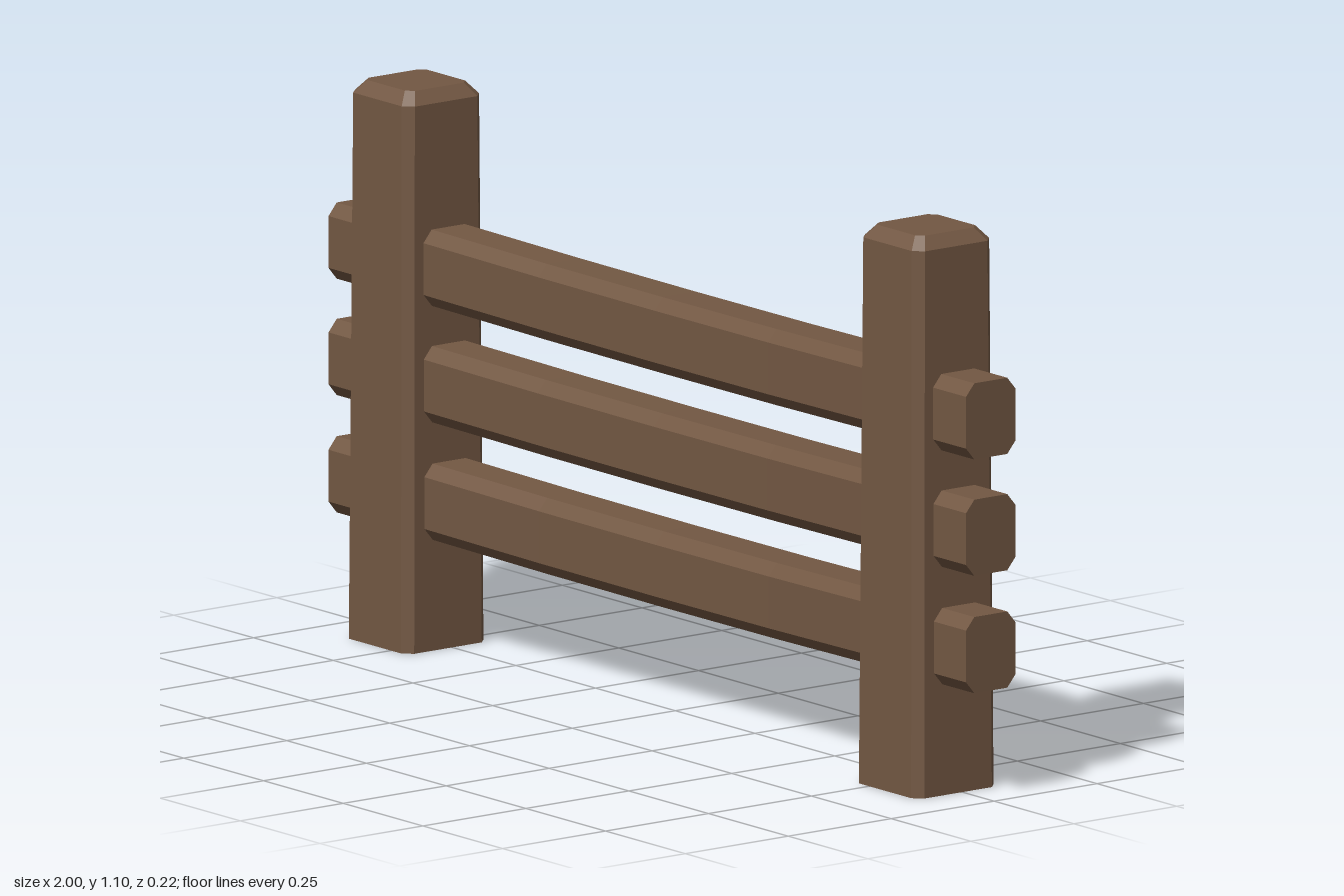
import * as THREE from 'three';

// Rectangle outline with cut corners, counter-clockwise in (u, v)
function chamferedRect(hu, hv, cu, cv = cu) {
  return [
    [hu, -hv + cv], [hu, hv - cv], [hu - cu, hv], [-hu + cu, hv],
    [-hu, hv - cv], [-hu, -hv + cv], [-hu + cu, -hv], [hu - cu, -hv],
  ];
}

// Skin a list of equal-length rings of Vector3 and close both ends
function loft(rings) {
  const n = rings[0].length;
  const points = rings.flat();
  const index = [];
  for (let r = 0; r < rings.length - 1; r++) {
    for (let i = 0; i < n; i++) {
      const a = r * n + i, b = r * n + (i + 1) % n;
      index.push(a, b, b + n, a, b + n, a + n);
    }
  }
  const last = (rings.length - 1) * n;
  for (let i = 1; i < n - 1; i++) {
    index.push(0, i + 1, i);
    index.push(last, last + i, last + i + 1);
  }
  const indexed = new THREE.BufferGeometry().setFromPoints(points);
  indexed.setIndex(index);
  const geometry = indexed.toNonIndexed();
  geometry.computeVertexNormals();
  return geometry;
}

// Upright post, slightly tapered, with a bevelled top
function postGeometry() {
  const levels = [[0, 0.1, 0.018], [1.075, 0.094, 0.018], [1.1, 0.073, 0.014]];
  return loft(levels.map(([y, half, cut]) =>
    chamferedRect(half, half, cut).map(([z, x]) => new THREE.Vector3(x, y, z))));
}

// Rail bowed down and backwards towards its middle
function railGeometry(sag, bow) {
  const stations = [[-1, 0], [-0.7, 0.1], [-0.36, 0.8], [0, 1], [0.36, 0.8], [0.7, 0.1], [1, 0]];
  return loft(stations.map(([x, t]) =>
    chamferedRect(0.075, 0.06, 0.024, 0.02).map(([y, z]) =>
      new THREE.Vector3(x, y - sag * t, z - bow * t))));
}

// Tapered peg pointing to the back
function pegGeometry() {
  const ring = (z, half) => [[half, -half], [half, half], [-half, half], [-half, -half]]
    .map(([y, x]) => new THREE.Vector3(x, y, z));
  return loft([ring(-0.07, 0.032), ring(-0.088, 0.032), ring(-0.11, 0.024)]);
}

export function createModel() {
  const group = new THREE.Group();
  group.name = 'woodenFence';

  const wood = new THREE.MeshStandardMaterial({ color: 0x735843, flatShading: true });
  wood.name = 'brownWood';

  const add = (name, geometry, x, y, z) => {
    const mesh = new THREE.Mesh(geometry, wood);
    mesh.name = name;
    mesh.position.set(x, y, z);
    group.add(mesh);
  };

  // Posts with two pegs each on the back
  const post = postGeometry();
  const peg = pegGeometry();
  for (const [side, x] of [['left', 0.8], ['right', -0.8]]) {
    add(`${side}Post`, post, x, 0, 0.01);
    add(`${side}UpperPeg`, peg, x, 0.753, 0);
    add(`${side}LowerPeg`, peg, x, 0.29, 0);
  }

  // Three rails passing through the posts
  add('topRail', railGeometry(0.011, 0.018), 0, 0.754, 0.008);
  add('middleRail', railGeometry(0.01, 0.016), 0, 0.525, 0.008);
  add('bottomRail', railGeometry(0.012, 0.02), 0, 0.294, 0.008);

  return group;
}
